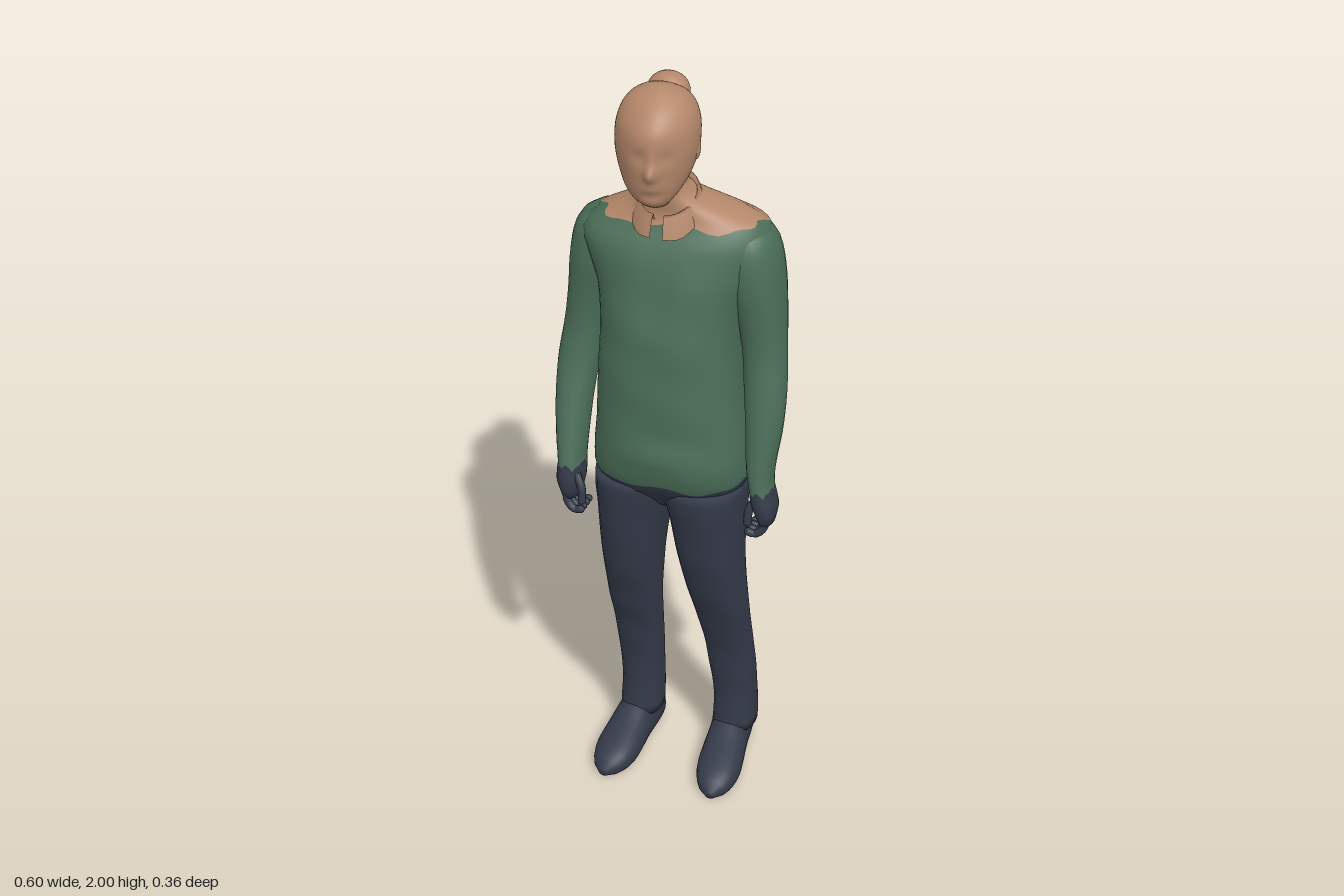
import * as THREE from 'three';

const material = (name, color, side = THREE.FrontSide) => {
  const m = new THREE.MeshStandardMaterial({ color, side });
  m.name = name;
  return m;
};
const bump = (d, w) => Math.exp(-(d * d) / (w * w));

// Smooth interpolation of cross-sections [t, x0, x1, z0, z1] sorted by t
function section(keys, t) {
  let i = 0;
  while (i < keys.length - 2 && t > keys[i + 1][0]) i++;
  const a = keys[i], b = keys[i + 1], h = b[0] - a[0];
  const p = keys[i - 1] || a, q = keys[i + 2] || b;
  const s = Math.min(1, Math.max(0, (t - a[0]) / h)), s2 = s * s, s3 = s2 * s;
  return [1, 2, 3, 4].map((k) => {
    const ma = ((b[k] - p[k]) / (b[0] - p[0])) * h;
    const mb = ((q[k] - a[k]) / (q[0] - a[0])) * h;
    return (2 * s3 - 3 * s2 + 1) * a[k] + (s3 - 2 * s2 + s) * ma + (3 * s2 - 2 * s3) * b[k] + (s3 - s2) * mb;
  });
}

// Closed body through the cross-sections; colour changes at the heights in cuts
function loft(name, keys, mats, { cuts = [], step = 0.025, sides = 24, p = 2.2, sculpt } = {}) {
  const edges = [keys[0][0], ...cuts, keys[keys.length - 1][0]];
  const rows = [{ t: edges[0], k: 0 }, { t: edges[0], k: 1 }];
  const bandEnds = [];
  for (let b = 0; b < edges.length - 1; b++) {
    const n = Math.max(2, Math.ceil((edges[b + 1] - edges[b]) / step));
    for (let i = 1; i <= n; i++) rows.push({ t: edges[b] + ((edges[b + 1] - edges[b]) * i) / n, k: 1 });
    bandEnds.push(rows.length - 1);
  }
  rows.push({ t: edges[edges.length - 1], k: 0 });
  bandEnds[bandEnds.length - 1]++;
  const pos = [], index = [], v = new THREE.Vector3();
  const pw = (c) => Math.sign(c) * Math.abs(c) ** (2 / p);
  for (const { t, k } of rows) {
    for (let j = 0; j < sides; j++) {
      const u = (j / sides) * Math.PI * 2;
      let y = t;
      for (const c of cuts) y += bump(t - c, 0.035) * (0.006 * Math.sin(5 * u) + 0.005 * Math.sin(9 * u + 1));
      const [x0, x1, z0, z1] = section(keys, y);
      v.set((x0 + x1) / 2 + (k * pw(Math.cos(u)) * (x1 - x0)) / 2, y, (z0 + z1) / 2 + (k * pw(Math.sin(u)) * (z1 - z0)) / 2);
      if (sculpt && k) sculpt(v, Math.sin(u));
      pos.push(v.x, v.y, v.z);
    }
  }
  const geo = new THREE.BufferGeometry();
  let start = 0, band = 0;
  for (let i = 0; i < rows.length - 1; i++) {
    for (let j = 0; j < sides; j++) {
      const a = i * sides + j, b = i * sides + ((j + 1) % sides), c = a + sides, d = b + sides;
      if (rows[i].k) index.push(a, c, b);
      if (rows[i + 1].k) index.push(b, c, d);
    }
    if (i + 1 === bandEnds[band]) {
      geo.addGroup(start, index.length - start, band++);
      start = index.length;
    }
  }
  geo.setAttribute('position', new THREE.Float32BufferAttribute(pos, 3));
  geo.setIndex(index);
  geo.computeVertexNormals();
  const mesh = new THREE.Mesh(geo, mats);
  mesh.name = name;
  return mesh;
}

export function createModel() {
  const skin = material('skin', 0xb4876a), shirt = material('shirt green', 0x4b6e58);
  const navy = material('trouser navy', 0x343a49), collarMat = material('collar skin', 0xb4876a, THREE.DoubleSide);
  const model = new THREE.Group();
  model.name = 'standingFigure';

  // Torso from hips to neck: left shoulder set back, spine groove, hem fold and light creases
  model.add(loft('torso', [
    [0.84, -0.1, 0.11, -0.06, 0.06], [0.89, -0.165, 0.17, -0.1, 0.105], [0.925, -0.194, 0.198, -0.128, 0.136],
    [1.0, -0.195, 0.205, -0.147, 0.158], [1.07, -0.19, 0.2, -0.152, 0.155], [1.2, -0.183, 0.183, -0.132, 0.152],
    [1.35, -0.178, 0.175, -0.15, 0.145], [1.46, -0.187, 0.19, -0.157, 0.128], [1.54, -0.215, 0.222, -0.155, 0.11],
    [1.6, -0.225, 0.235, -0.142, 0.09], [1.64, -0.185, 0.22, -0.122, 0.062], [1.66, -0.145, 0.17, -0.112, 0.056],
    [1.685, -0.1, 0.105, -0.092, 0.058], [1.72, -0.075, 0.05, -0.06, 0.065], [1.76, -0.07, 0.035, -0.035, 0.075],
    [1.82, -0.065, 0.03, -0.02, 0.08],
  ], [navy, shirt, skin], {
    cuts: [0.94, 1.64], sides: 48, p: 2.3,
    sculpt: (v, s) => {
      v.z -= 0.09 * v.x * bump(v.y - 1.6, 0.15);
      if (s < 0) v.z += -s * bump(v.x, 0.04) * (0.014 * bump(v.y - 1.4, 0.2) + 0.018 * bump(v.y - 0.92, 0.07));
      else v.z += s * (0.008 * bump(v.y - 1.045, 0.02) * bump(v.x - 0.03, 0.09) - 0.008 * bump(v.x, 0.03) * bump(v.y - 1.48, 0.1));
      if (v.y < 1.6) v.z += 0.002 * Math.sin(38 * v.y + 14 * v.x) * Math.abs(s);
    },
  }));

  // Arms; the hands start at the wrist colour change
  const arms = {
    leftArm: [
      [0.85, 0.25, 0.288, 0.01, 0.08], [0.9, 0.23, 0.296, -0.002, 0.09], [0.94, 0.222, 0.28, -0.01, 0.085],
      [1.0, 0.21, 0.28, -0.025, 0.078], [1.1, 0.2, 0.292, -0.04, 0.062], [1.2, 0.188, 0.294, -0.06, 0.045],
      [1.3, 0.175, 0.284, -0.095, 0.03], [1.4, 0.155, 0.276, -0.125, 0.035], [1.5, 0.12, 0.268, -0.142, 0.045],
      [1.58, 0.1, 0.254, -0.135, 0.04], [1.62, 0.11, 0.234, -0.11, 0.02], [1.638, 0.14, 0.21, -0.08, -0.01],
    ],
    rightArm: [
      [0.85, -0.26, -0.215, 0.055, 0.13], [0.9, -0.276, -0.205, 0.035, 0.138], [0.94, -0.274, -0.208, 0.025, 0.13],
      [1.0, -0.284, -0.208, 0.005, 0.115], [1.1, -0.297, -0.205, -0.03, 0.085], [1.2, -0.3, -0.195, -0.055, 0.055],
      [1.3, -0.288, -0.18, -0.08, 0.04], [1.4, -0.277, -0.16, -0.1, 0.045], [1.5, -0.27, -0.12, -0.112, 0.055],
      [1.58, -0.254, -0.1, -0.105, 0.05], [1.615, -0.23, -0.11, -0.085, 0.03], [1.632, -0.2, -0.14, -0.06, 0.0],
    ],
  };
  for (const [name, keys] of Object.entries(arms)) model.add(loft(name, keys, [navy, shirt], { cuts: [0.94] }));

  // Curled fingers and thumbs
  const finger = (name, points, r) => {
    const curve = new THREE.CatmullRomCurve3(points.map((q) => new THREE.Vector3(...q)));
    const mesh = new THREE.Mesh(new THREE.TubeGeometry(curve, 8, r, 8), navy);
    const tip = new THREE.Mesh(new THREE.SphereGeometry(r, 8, 6), navy);
    tip.position.set(...points[points.length - 1]);
    mesh.name = name;
    tip.name = name + 'Tip';
    model.add(mesh, tip);
  };
  for (const [side, s, x, z] of [['left', 1, 0.272, 0.04], ['right', -1, 0.243, 0.092]]) {
    for (let i = 0; i < 4; i++) {
      const fz = z - 0.026 + i * 0.018;
      finger(side + 'Finger', [[s * x, 0.875, fz], [s * (x - 0.004), 0.84, fz + 0.003], [s * (x - 0.025), 0.82, fz + 0.006], [s * (x - 0.042), 0.824, fz + 0.008]], 0.0105);
    }
    finger(side + 'Thumb', [[s * (x - 0.025), 0.92, z + 0.02], [s * (x - 0.043), 0.885, z + 0.03], [s * (x - 0.045), 0.85, z + 0.034]], 0.011);
  }

  // Trouser legs
  const legs = {
    leftLeg: [
      [0.085, 0.088, 0.205, -0.16, -0.025], [0.12, 0.09, 0.206, -0.162, -0.028], [0.2, 0.09, 0.205, -0.15, -0.03],
      [0.3, 0.08, 0.205, -0.13, -0.018], [0.4, 0.07, 0.202, -0.105, 0.0], [0.5, 0.055, 0.2, -0.088, 0.035],
      [0.6, 0.038, 0.195, -0.088, 0.07], [0.7, 0.022, 0.192, -0.093, 0.097], [0.83, 0.002, 0.196, -0.113, 0.12],
      [0.88, -0.01, 0.198, -0.122, 0.13], [0.925, -0.015, 0.196, -0.122, 0.132],
    ],
    rightLeg: [
      [0.085, -0.168, -0.055, -0.14, -0.01], [0.12, -0.168, -0.054, -0.142, -0.012], [0.2, -0.164, -0.052, -0.132, -0.015],
      [0.3, -0.168, -0.048, -0.115, -0.005], [0.4, -0.172, -0.042, -0.092, 0.015], [0.5, -0.178, -0.038, -0.08, 0.046],
      [0.6, -0.181, -0.03, -0.082, 0.078], [0.7, -0.185, -0.02, -0.09, 0.102], [0.83, -0.19, -0.002, -0.113, 0.122],
      [0.88, -0.194, 0.01, -0.122, 0.13], [0.925, -0.192, 0.015, -0.122, 0.132],
    ],
  };
  const creases = (v, s) => { v.z += 0.002 * Math.sin(45 * v.y + 12 * v.x) * bump(v.y - 0.42, 0.25) * s; };
  for (const [name, keys] of Object.entries(legs)) model.add(loft(name, keys, [navy], { sculpt: creases, p: 2.3 }));

  // Shoes, lofted heel to toe and flattened on the ground
  const shoe = (name, x, z, turn, length) => {
    const mesh = loft(name, [
      [-0.172, -0.03, 0.03, -0.07, 0.0], [-0.155, -0.046, 0.046, -0.11, 0.01], [-0.1, -0.053, 0.053, -0.125, 0.015],
      [-0.04, -0.052, 0.055, -0.118, 0.015], [0.02, -0.055, 0.06, -0.095, 0.015], [0.08, -0.055, 0.062, -0.075, 0.015],
      [0.13, -0.043, 0.052, -0.056, 0.01], [0.16, -0.025, 0.032, -0.036, 0.005], [0.17, -0.01, 0.015, -0.02, 0.0],
    ].map(([t, ...rest]) => [t * length, ...rest]), [navy], { sculpt: (v) => { v.z = Math.min(0, v.z); }, step: 0.02 });
    mesh.geometry.rotateX(Math.PI / 2);
    mesh.position.set(x, 0, z);
    mesh.rotation.y = turn;
    model.add(mesh);
  };
  shoe('leftShoe', 0.146, -0.008, 0.09, 0.98);
  shoe('rightShoe', -0.125, 0.009, -0.09, 0.93);

  // Head, narrowing towards the face, with soft eye sockets, nose and lips
  const fx = 0.005;
  model.add(loft('head', [
    [1.725, -0.05, 0.025, 0.06, 0.13], [1.738, -0.066, 0.035, 0.035, 0.145], [1.76, -0.087, 0.05, 0.0, 0.153],
    [1.79, -0.104, 0.064, -0.035, 0.157], [1.83, -0.117, 0.075, -0.058, 0.16], [1.87, -0.122, 0.08, -0.068, 0.161],
    [1.92, -0.117, 0.076, -0.068, 0.153], [1.96, -0.1, 0.058, -0.048, 0.122], [1.985, -0.07, 0.028, -0.01, 0.085],
    [2.0, -0.035, -0.01, 0.028, 0.052],
  ], [skin], {
    step: 0.008, sides: 56, p: 2.1,
    sculpt: (v, s) => {
      if (s < 0) return;
      v.x += s * s * (-0.22 * (v.x + 0.02) + 0.01);
      const x = v.x - fx, y = v.y;
      v.z += s * (0.02 * bump(x, 0.014) * bump(y - 1.823, 0.018) + 0.007 * bump(x, 0.011) * bump(y - 1.85, 0.025));
      v.z -= s * 0.007 * (bump(x - 0.03, 0.022) + bump(x + 0.03, 0.022)) * bump(y - 1.862, 0.018);
      v.z += s * (0.004 * bump(x, 0.024) * bump(y - 1.786, 0.012) - 0.005 * bump(x, 0.03) * bump(y - 1.763, 0.009));
    },
  }));

  // Hair bun and ears
  const blob = (name, x, y, z, sx, sy, sz, tilt = 0) => {
    const mesh = new THREE.Mesh(new THREE.SphereGeometry(1, 18, 12), skin);
    mesh.name = name;
    mesh.position.set(x, y, z);
    mesh.scale.set(sx, sy, sz);
    mesh.rotation.x = tilt;
    model.add(mesh);
  };
  blob('hairBun', -0.035, 1.936, -0.07, 0.053, 0.045, 0.045, 0.3);
  blob('bunRoot', -0.03, 1.925, -0.03, 0.06, 0.045, 0.05);
  blob('leftEar', 0.073, 1.845, 0.03, 0.007, 0.026, 0.016, -0.2);
  blob('rightEar', -0.115, 1.845, 0.03, 0.007, 0.026, 0.016, -0.2);

  // Folded collar, open at the front and sloping down towards it
  const cols = 32, profile = [[0.064, -0.012], [0.069, 0.006], [0.075, 0.002], [0.09, -0.042]];
  const pos = [], index = [];
  profile.forEach(([r, dy], i) => {
    for (let j = 0; j <= cols; j++) {
      const a = 0.18 + (j / cols) * (Math.PI * 2 - 0.36), front = (1 + Math.cos(a)) / 2;
      const drop = i === 3 ? -0.012 * bump(front - 0.9, 0.12) : 0;
      pos.push(-0.006 + Math.sin(a) * r, 1.735 - 0.062 * front + dy + drop, 0.008 + 0.003 * front + Math.cos(a) * r);
      if (i < profile.length - 1 && j < cols) {
        const p = i * (cols + 1) + j, q = p + cols + 1;
        index.push(p, p + 1, q, p + 1, q + 1, q);
      }
    }
  });
  const collarGeo = new THREE.BufferGeometry();
  collarGeo.setAttribute('position', new THREE.Float32BufferAttribute(pos, 3));
  collarGeo.setIndex(index);
  collarGeo.computeVertexNormals();
  const collar = new THREE.Mesh(collarGeo, collarMat);
  collar.name = 'collar';
  model.add(collar);
  return model;
}
